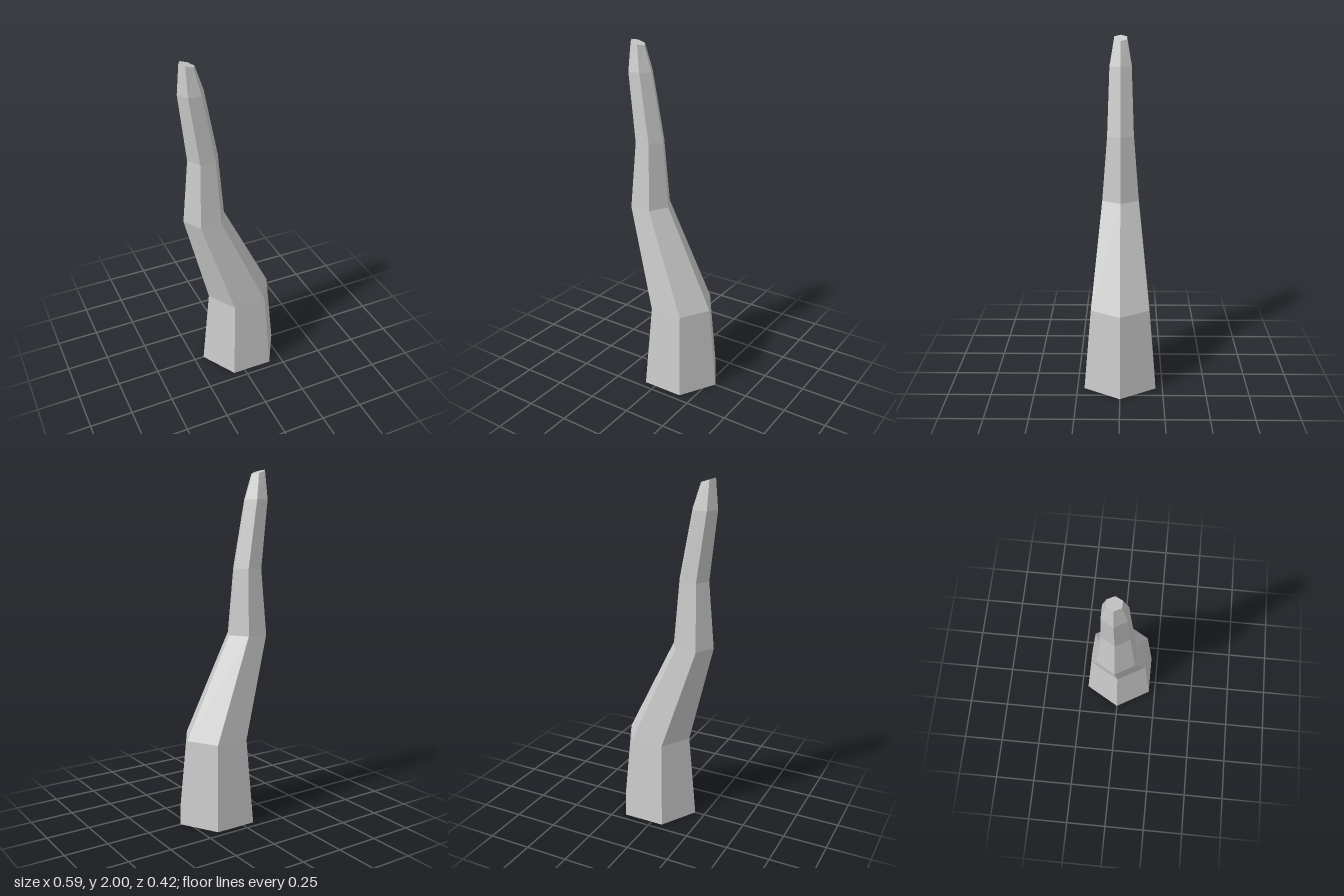
import * as THREE from 'three';

// Cross-sections from base to tip: height, centre x, radius, tilt (rise per unit of x)
const RINGS = [
  { y: 0, x: 0.051, r: 0.242, tilt: 0 },
  { y: 0.49, x: 0.0485, r: 0.194, tilt: 0 },
  { y: 1.072, x: -0.1655, r: 0.1225, tilt: 0 },
  { y: 1.45, x: -0.165, r: 0.088, tilt: 0 },
  { y: 1.835, x: -0.2225, r: 0.0725, tilt: 0 },
  { y: 1.986, x: -0.2375, r: 0.042, tilt: -0.33 },
];

export function createModel() {
  const group = new THREE.Group();
  group.name = 'bentSpike';

  // Hexagonal column with its corners on the x axis, bent and tapered ring by ring
  const steps = RINGS.length - 1;
  const geometry = new THREE.CylinderGeometry(1, 1, 1, 6, steps, false, Math.PI / 2);
  const pos = geometry.attributes.position;
  for (let i = 0; i < pos.count; i++) {
    const ring = RINGS[Math.round((pos.getY(i) + 0.5) * steps)];
    const dx = pos.getX(i) * ring.r;
    pos.setXYZ(i, ring.x + dx, ring.y + dx * ring.tilt, pos.getZ(i) * ring.r);
  }
  geometry.computeVertexNormals();

  const material = new THREE.MeshStandardMaterial({ color: 0xcccccc, flatShading: true });
  const stalk = new THREE.Mesh(geometry, material);
  stalk.name = 'stalk';
  group.add(stalk);
  return group;
}
